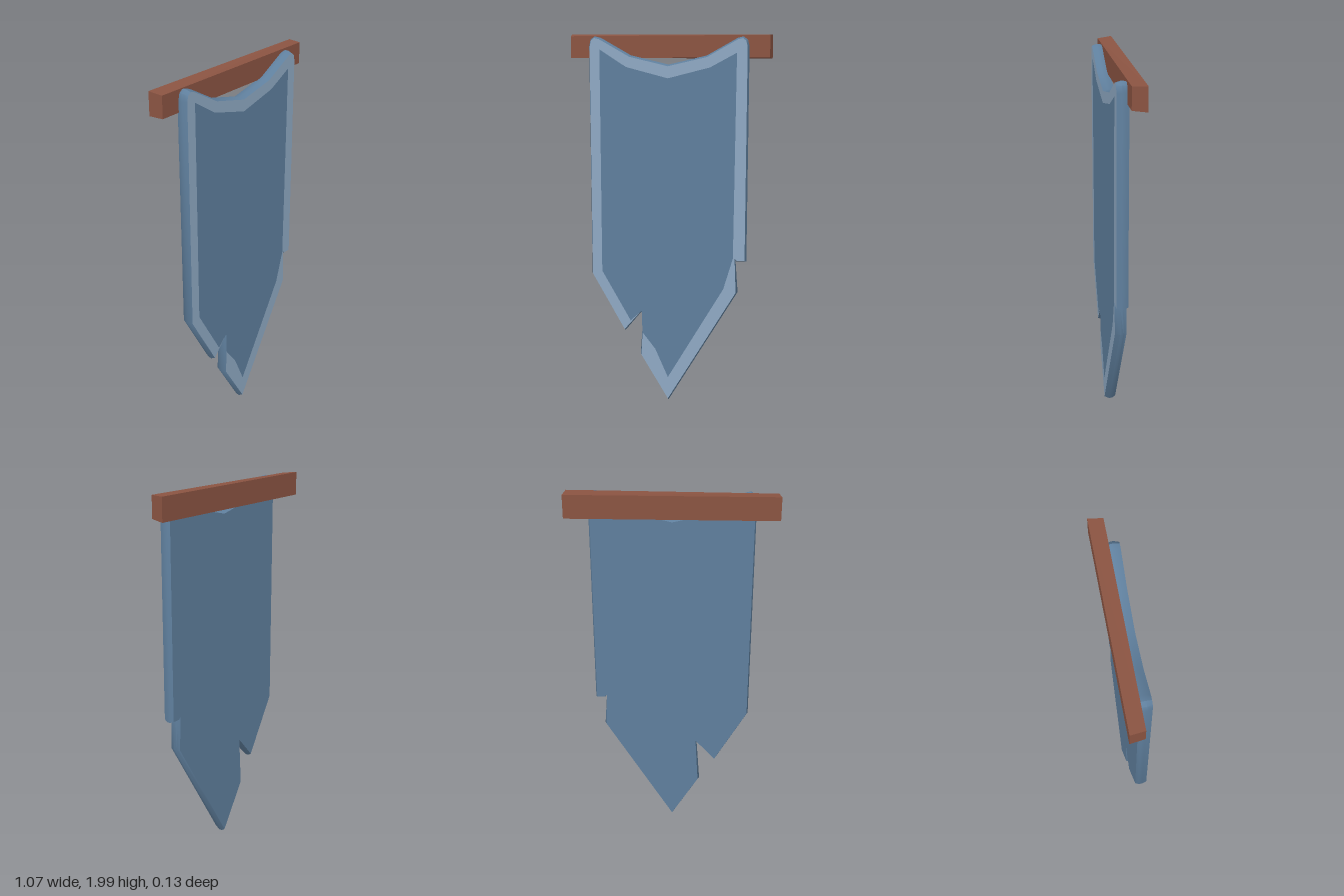
import * as THREE from 'three';
import { mergeVertices, toCreasedNormals } from 'three/addons/utils/BufferGeometryUtils.js';

const toPoints = (list) => list.map(([x, y]) => new THREE.Vector2(x, y));

// Torn cloth outline, counter-clockwise from the lower tip
const OUTLINE = toPoints([
  [0, 0.01], [0.375, 0.64], [0.36, 0.825], [0.365, 0.81], [0.42, 0.81], [0.42, 1.94],
  [0.412, 1.975], [0.39, 1.992], [0.36, 1.985], [0.2, 1.895], [0, 1.848], [-0.2, 1.895],
  [-0.36, 1.985], [-0.39, 1.992], [-0.412, 1.975], [-0.42, 1.94], [-0.42, 0.72],
  [-0.24, 0.4], [-0.137, 0.525], [-0.155, 0.27],
]);

// Darker field inside the trim; it runs out to the cloth edge at the tears
const FIELD = toPoints([
  [0, 0.15], [0.3, 0.66], [0.35, 0.83], [0.358, 1.91], [0.22, 1.835], [0, 1.778],
  [-0.22, 1.835], [-0.36, 1.925], [-0.36, 0.74], [-0.205, 0.465], [-0.144, 0.523],
  [-0.14, 0.4], [-0.07, 0.31],
]);

// Move every corner inward along its mitre
function inset(points, d) {
  const n = points.length;
  return points.map((p, i) => {
    const a = p.clone().sub(points[(i + n - 1) % n]).normalize();
    const b = points[(i + 1) % n].clone().sub(p).normalize();
    const na = new THREE.Vector2(-a.y, a.x);
    const nb = new THREE.Vector2(-b.y, b.x);
    const m = na.clone().add(nb);
    const scale = d / Math.max(0.35, 1 + na.dot(nb));
    return p.clone().addScaledVector(m, scale);
  });
}

// Rounded rim lofted through outlines at several depths
function rimGeometry(sections) {
  const n = OUTLINE.length;
  const position = [];
  const index = [];
  sections.forEach(([z, d]) => inset(OUTLINE, d).forEach((p) => position.push(p.x, p.y, z)));
  for (let s = 0; s < sections.length - 1; s++) {
    for (let i = 0; i < n; i++) {
      const a = s * n + i;
      const b = s * n + ((i + 1) % n);
      index.push(a, b, b + n, a, b + n, a + n);
    }
  }
  const g = new THREE.BufferGeometry();
  g.setAttribute('position', new THREE.Float32BufferAttribute(position, 3));
  g.setIndex(index);
  return toCreasedNormals(mergeVertices(g), 0.7);
}

function flatFace(points, z) {
  return new THREE.ShapeGeometry(new THREE.Shape(points)).translate(0, 0, z);
}

export function createModel() {
  const model = new THREE.Group();
  model.name = 'hangingBanner';
  const cloth = new THREE.MeshStandardMaterial({ color: 0x5f7f9d });
  const trim = new THREE.MeshStandardMaterial({ color: 0x8fa9c3 });
  const wood = new THREE.MeshStandardMaterial({ color: 0x8b5442, flatShading: true });

  const add = (name, geometry, material) => {
    const mesh = new THREE.Mesh(geometry, material);
    mesh.name = name;
    model.add(mesh);
  };

  // Cloth: rim, back, light trim and darker field
  const back = 0;
  const front = 0.062;
  add('clothRim', rimGeometry([[back, 0.008], [0.018, 0.001], [0.036, 0], [front, 0.008]]), cloth);
  const backFace = flatFace(inset(OUTLINE, 0.008).map((p) => new THREE.Vector2(-p.x, p.y)).reverse(), 0);
  add('clothBack', backFace.rotateY(Math.PI).translate(0, 0, back), cloth);
  add('clothTrim', flatFace(inset(OUTLINE, 0.008), front), trim);
  add('clothField', flatFace(FIELD, front + 0.001), cloth);

  // Wooden bar, slightly longer at the back and a little uneven
  const bar = new THREE.BoxGeometry(1.07, 0.122, 0.075);
  const p = bar.attributes.position;
  for (let i = 0; i < p.count; i++) {
    if (p.getZ(i) > 0) {
      p.setX(i, p.getX(i) * 0.98);
      if (p.getX(i) < 0 && p.getY(i) > 0) p.setY(i, p.getY(i) - 0.008);
      if (p.getX(i) > 0 && p.getY(i) < 0) p.setY(i, p.getY(i) + 0.008);
    }
  }
  bar.translate(0, 1.939, -0.0275);
  add('woodenBar', bar, wood);

  return model;
}
